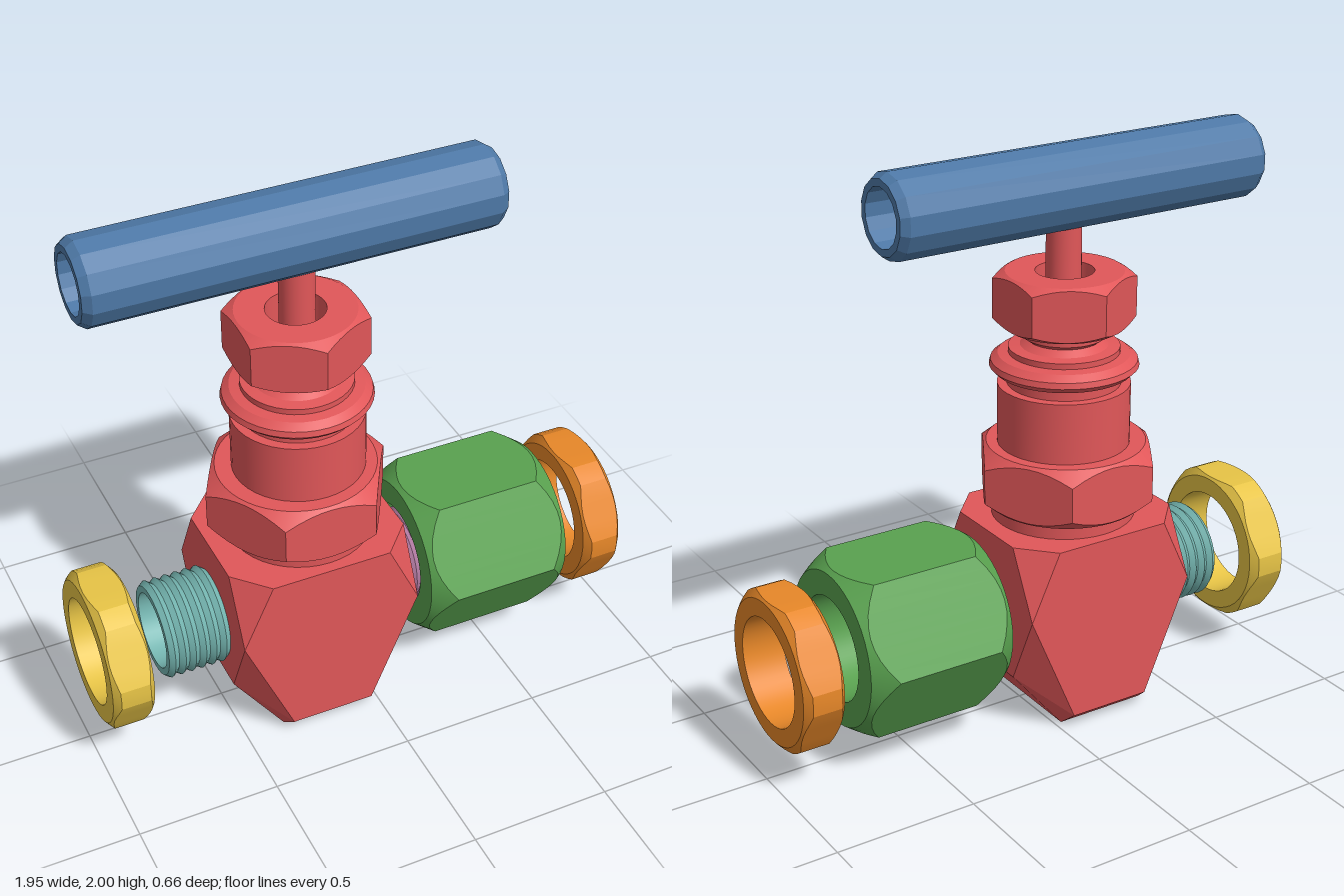
import * as THREE from 'three';
import { toCreasedNormals, mergeGeometries } from 'three/addons/utils/BufferGeometryUtils.js';
import { ConvexGeometry } from 'three/addons/geometries/ConvexGeometry.js';

const mat = (name, color) => Object.assign(new THREE.MeshStandardMaterial({ color }), { name });

// Sweeps a closed [radius, height] profile round the y axis; the profile may depend on the angle.
function revolve(profileAt, segments, crease = 0.5) {
  const pos = [], index = [];
  const n = profileAt(0).length;
  for (let i = 0; i <= segments; i++) {
    const a = (i / segments) * Math.PI * 2;
    for (const [r, y] of profileAt(a)) pos.push(r * Math.cos(a), y, r * Math.sin(a));
  }
  const profile = profileAt(0);
  for (let i = 0; i < segments; i++) {
    for (let j = 0; j < n; j++) {
      const k = (j + 1) % n;
      if (profile[j][0] === 0 && profile[k][0] === 0) continue;
      const a = i * n + j, b = i * n + k, c = a + n, d = b + n;
      if (profile[j][0] > 0) index.push(a, b, c);
      if (profile[k][0] > 0) index.push(b, d, c);
    }
  }
  const g = new THREE.BufferGeometry();
  g.setAttribute('position', new THREE.Float32BufferAttribute(pos, 3));
  g.setIndex(index);
  return toCreasedNormals(g, crease);
}

// Hexagonal nut with conical chamfers at both ends and an optional limit on the corners.
function hexNut({ flat, half, bore, end, slope, phase, clip = Infinity }) {
  return revolve((a) => {
    const t = ((a - phase) % (Math.PI / 3) + Math.PI / 3) % (Math.PI / 3);
    const r = Math.min(flat / Math.cos(t - Math.PI / 6), clip);
    const h = half - (r - end) * slope;
    return [[bore, -half], [end, -half], [r, -h], [r, h], [end, half], [bore, half]];
  }, 48, 0.3);
}

// Hollow threaded pipe with evenly spaced ridges.
function threadedPipe(length, outer, bore, ridges) {
  const profile = [[bore, -length / 2]];
  for (let i = 0; i <= ridges * 2; i++) {
    profile.push([outer - (i % 2 ? 0 : 0.014), -length / 2 + (length * i) / (ridges * 2)]);
  }
  profile.push([bore, length / 2]);
  return revolve(() => profile, 32);
}

// Faceted block with tapered corners and a bore opening through its two ends.
function bodyGeometry(bore, boreY) {
  const X = 0.325, points = [];
  for (const sx of [-1, 1]) for (const sz of [-1, 1]) {
    for (const [x, y, z] of [
      [0.215, 0.695, 0.29], [X, 0.46, 0.29], [0.15, 0.05, 0.29],
      [X, 0.695, 0.17], [X, 0.2, 0.17], [0.165, 0, 0.23],
    ]) points.push(new THREE.Vector3(sx * x, y, sz * z));
  }
  // Keep every hull face except the two flat ends
  const hull = new ConvexGeometry(points).getAttribute('position');
  const kept = [];
  for (let i = 0; i < hull.count; i += 3) {
    const isEnd = [0, 1, 2].every((k) => Math.abs(hull.getX(i + k)) > X - 1e-4);
    if (isEnd) continue;
    for (let k = 0; k < 3; k++) kept.push(hull.getX(i + k), hull.getY(i + k), hull.getZ(i + k));
  }
  const shell = new THREE.BufferGeometry();
  shell.setAttribute('position', new THREE.Float32BufferAttribute(kept, 3));
  shell.computeVertexNormals();

  // End faces with round openings
  const face = new THREE.Shape([[-0.17, 0.2], [0.17, 0.2], [0.29, 0.46], [0.17, 0.695], [-0.17, 0.695], [-0.29, 0.46]]
    .map(([x, y]) => new THREE.Vector2(x, y)));
  face.holes.push(new THREE.Path().absarc(0, boreY, bore, 0, Math.PI * 2, true));
  const ends = [-1, 1].map((s) => {
    const g = new THREE.ShapeGeometry(face, 16).toNonIndexed();
    g.deleteAttribute('uv');
    return g.rotateY((s * Math.PI) / 2).translate(s * X, 0, 0);
  });
  return mergeGeometries([shell, ...ends]);
}

export function createModel() {
  const model = new THREE.Group();
  model.name = 'needleValve';
  const red = mat('valveRed', 0xe15759);
  const blue = mat('handleBlue', 0x4e79a7);
  const green = mat('couplingGreen', 0x59a14f);
  const orange = mat('ringOrange', 0xf28e2b);
  const yellow = mat('ringYellow', 0xedc948);
  const teal = mat('threadTeal', 0x76b7b2);
  const purple = mat('threadPurple', 0xb07aa1);

  const add = (name, geometry, material, x, y, alongX = false) => {
    const mesh = new THREE.Mesh(geometry, material);
    mesh.name = name;
    mesh.position.set(x, y, 0);
    if (alongX) mesh.rotation.z = -Math.PI / 2;
    model.add(mesh);
    return mesh;
  };
  const BORE = 0.135, AXIS = 0.4, BODY_X = -0.19, STEM_X = -0.18;

  // Valve body and the passage through it
  add('body', bodyGeometry(BORE, AXIS), red, BODY_X, 0);
  const passage = new THREE.CylinderGeometry(BORE, BORE, 0.65, 32, 1, true);
  passage.setIndex(Array.from(passage.index.array).reverse());
  const normals = passage.getAttribute('normal');
  for (let i = 0; i < normals.count; i++) normals.setXYZ(i, -normals.getX(i), 0, -normals.getZ(i));
  add('passage', passage, red, BODY_X, AXIS, true);

  // Bonnet: neck, hex nut, barrel, flange and upper neck
  add('bonnetNut', hexNut({ flat: 0.285, half: 0.108, bore: 0.15, end: 0.275, slope: 0.85, phase: 0 }),
    red, BODY_X, 0.852);
  add('bonnet', revolve(() => [
    [0, 0.6], [0.25, 0.6], [0.25, 0.76], [0.228, 0.76], [0.228, 1.175], [0.195, 1.175],
    [0.195, 1.215], [0.235, 1.22], [0.255, 1.24], [0.25, 1.26], [0.225, 1.28], [0.19, 1.285],
    [0.19, 1.305], [0.15, 1.31], [0.125, 1.33], [0.145, 1.345], [0.145, 1.4], [0, 1.4],
  ], 40), red, STEM_X, 0);

  // Packing nut and stem
  add('packingNut', hexNut({ flat: 0.21, half: 0.095, bore: 0.1, end: 0.2, slope: 0.6, phase: Math.PI / 2 }),
    red, STEM_X, 1.473);
  add('stem', revolve(() => [[0, 1.35], [0.06, 1.35], [0.06, 1.89], [0.042, 1.91], [0, 1.91]], 24),
    red, STEM_X + 0.005, 0);

  // Hollow crossbar handle
  add('handle', revolve(() => [
    [0.1, -0.7125], [0.125, -0.7125], [0.144, -0.685], [0.144, 0.685], [0.125, 0.7125], [0.1, 0.7125],
  ], 14, 0.1), blue, -0.2025, 1.856, true);

  // Threaded ports
  add('rightPort', threadedPipe(0.225, 0.174, BORE, 6), teal, -0.6275, AXIS, true);
  add('leftPort', threadedPipe(0.2, 0.172, BORE, 5), purple, 0.235, AXIS, true);

  // Coupling nut on the left port
  add('couplingNut', hexNut({ flat: 0.284, half: 0.27, bore: 0.185, end: 0.272, slope: 1.4, phase: Math.PI / 2 }),
    green, 0.47, 0.415, true);

  // Loose end rings
  for (const [name, material, x] of [['leftRing', orange, 0.9], ['rightRing', yellow, -0.902]]) {
    add(name, hexNut({ flat: 0.261, half: 0.074, bore: 0.19, end: 0.253, slope: 0.8, phase: Math.PI / 2, clip: 0.28 }),
      material, x, 0.396, true);
  }
  return model;
}
